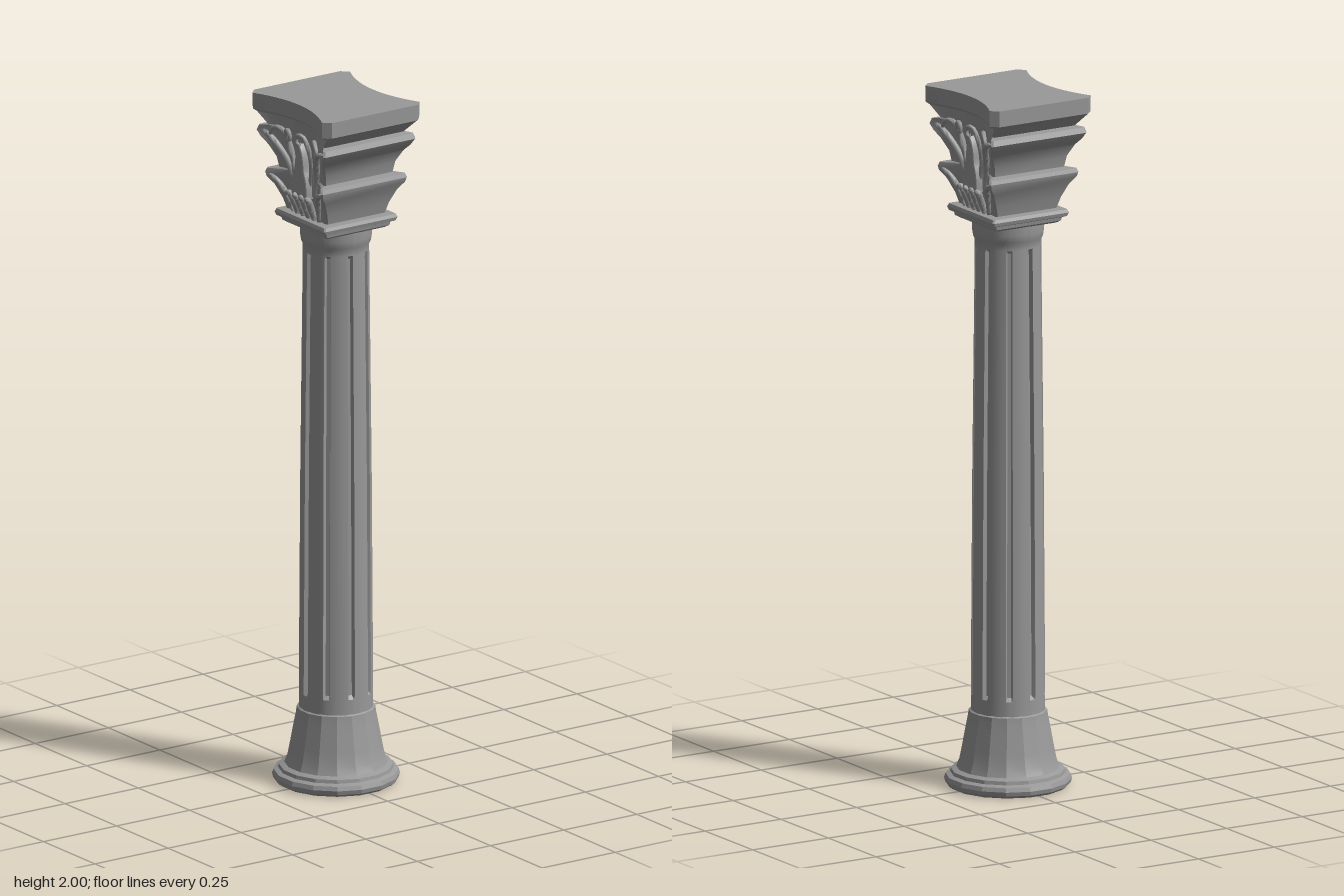
import * as THREE from 'three';
import { toCreasedNormals } from 'three/addons/utils/BufferGeometryUtils.js';

const material = new THREE.MeshStandardMaterial({ color: 0x999999 });

function part(name, geometry, crease = 0.55) {
  const mesh = new THREE.Mesh(toCreasedNormals(geometry, crease), material);
  mesh.name = name;
  return mesh;
}

// Skin a stack of rings (counterclockwise from above) and cap both ends
function loft(rings) {
  const n = rings[0].length, pos = [], idx = [];
  rings.forEach(r => r.forEach(p => pos.push(...p)));
  for (let i = 0; i < rings.length - 1; i++) {
    for (let j = 0; j < n; j++) {
      const k = (j + 1) % n, a = i * n + j, b = i * n + k;
      idx.push(a, b, b + n, a, b + n, a + n);
    }
  }
  const top = (rings.length - 1) * n, c = rings.length * n;
  pos.push(0, rings[0][0][1], 0, 0, rings.at(-1)[0][1], 0);
  for (let j = 0; j < n; j++) {
    const k = (j + 1) % n;
    idx.push(c, k, j, c + 1, top + j, top + k);
  }
  const g = new THREE.BufferGeometry();
  g.setAttribute('position', new THREE.Float32BufferAttribute(pos, 3));
  g.setIndex(idx);
  return g;
}

// Rectangle with clipped corners and front/back edges hollowed to depth mid
function hollowSection(y, w, d, mid = d, clip = 0.004, power = 2) {
  const pts = [], n = 14, e = w - clip;
  for (const s of [1, -1]) {
    for (let i = 0; i <= n; i++) {
      const t = -1 + 2 * i / n;
      pts.push([s * t * e, y, s * (mid + (d - mid) * Math.abs(t) ** power)]);
    }
    pts.push([s * w, y, s * (d - clip)], [s * w, y, -s * (d - clip)]);
  }
  return pts;
}

// Round section cut by nine narrow flutes
function flutedSection(y, r, depth) {
  const pts = [];
  for (let f = 0; f < 9; f++) {
    for (const [deg, cut] of [[-12.5, 0], [-5.5, 0], [-3.5, 1], [3.5, 1], [5.5, 0], [12.5, 0], [20, 0]]) {
      const a = THREE.MathUtils.degToRad(f * 40 + deg), q = r - cut * depth;
      pts.push([q * Math.sin(a), y, q * Math.cos(a)]);
    }
  }
  return pts;
}

// Tapered, round-ended leaf rib along a curve
function rib(name, points, radius, side = 1) {
  const curve = new THREE.CatmullRomCurve3(points.map(([x, y, z]) => new THREE.Vector3(x * side, y, z)));
  const steps = 20, sides = 8;
  const g = new THREE.TubeGeometry(curve, steps, radius, sides);
  const p = g.attributes.position, v = new THREE.Vector3();
  for (let i = 0; i <= steps; i++) {
    const t = i / steps, c = curve.getPointAt(t);
    const k = Math.sqrt(Math.max(0, 1 - t ** 6)) * (0.75 + 0.25 * t);
    for (let j = 0; j <= sides; j++) {
      const m = i * (sides + 1) + j;
      v.fromBufferAttribute(p, m).sub(c).multiplyScalar(k).add(c);
      p.setXYZ(m, v.x, v.y, v.z);
    }
  }
  return part(name, g, 1.2);
}

// Carved foliage for one hollow face of the capital
function foliage(name) {
  const group = new THREE.Group();
  group.name = name;
  for (const s of [1, -1]) {
    group.add(
      rib('lowerCornerLeaf', [[0.062, 1.67, 0.1], [0.078, 1.72, 0.115], [0.1, 1.755, 0.132], [0.128, 1.77, 0.142]], 0.01, s),
      rib('upperCornerLeaf', [[0.05, 1.72, 0.105], [0.065, 1.8, 0.11], [0.1, 1.87, 0.138], [0.122, 1.888, 0.148], [0.152, 1.895, 0.149]], 0.011, s),
      rib('hoopLeaf', [[0.045, 1.74, 0.105], [0.055, 1.85, 0.112], [0.076, 1.91, 0.13], [0.1, 1.912, 0.143], [0.118, 1.88, 0.146]], 0.009, s),
      rib('scroll', [[0.028, 1.76, 0.108], [0.046, 1.83, 0.116], [0.05, 1.885, 0.13], [0.038, 1.92, 0.142],
        [0.02, 1.918, 0.147], [0.015, 1.9, 0.147], [0.027, 1.893, 0.144], [0.032, 1.904, 0.142]], 0.0085, s)
    );
    for (const x of [0.013, 0.04]) {
      group.add(rib('baseLeaf', [[x, 1.668, 0.1], [x, 1.7, 0.112], [x * 1.1, 1.73, 0.126], [x * 1.15, 1.738, 0.14]], 0.012, s));
    }
  }
  // Central bud
  const shape = new THREE.Shape();
  shape.moveTo(-0.034, 1.735);
  shape.lineTo(0.034, 1.735);
  shape.quadraticCurveTo(0.034, 1.78, 0.019, 1.81);
  shape.quadraticCurveTo(0.016, 1.86, 0, 1.88);
  shape.quadraticCurveTo(-0.016, 1.86, -0.019, 1.81);
  shape.quadraticCurveTo(-0.034, 1.78, -0.034, 1.735);
  const bud = part('bud', new THREE.ExtrudeGeometry(shape, {
    depth: 0.025, bevelSize: 0.004, bevelThickness: 0.006, bevelSegments: 2, curveSegments: 6
  }));
  bud.position.z = 0.097;
  group.add(bud);
  return group;
}

export function createModel() {
  const model = new THREE.Group();
  model.name = 'column';

  // Flared, faceted foot
  const foot = [[0, 0], [0.165, 0], [0.176, 0.008], [0.179, 0.02], [0.175, 0.032], [0.162, 0.037], [0.16, 0.047],
    [0.145, 0.053], [0.136, 0.075], [0.128, 0.115], [0.119, 0.165], [0.112, 0.2], [0.11, 0.216], [0.1, 0.222], [0, 0.222]];
  model.add(part('base', new THREE.LatheGeometry(foot.map(p => new THREE.Vector2(...p)), 16, Math.PI / 16), 0.36));

  // Tapering fluted shaft with a flared neck
  const shaft = [[0.212, 0.104, 0], [0.262, 0.104, 0], [0.272, 0.104, 0.012], [0.9, 0.1, 0.012], [1.55, 0.093, 0.012],
    [1.56, 0.093, 0], [1.575, 0.093, 0], [1.585, 0.098, 0], [1.605, 0.101, 0], [1.635, 0.101, 0]];
  model.add(part('shaft', loft(shaft.map(a => flutedSection(...a)))));

  // Square collar moulding
  const collar = [[1.628, 0.1, 0.1], [1.634, 0.108, 0.11], [1.644, 0.11, 0.112], [1.648, 0.12, 0.123],
    [1.658, 0.123, 0.126], [1.667, 0.119, 0.122], [1.67, 0.1, 0.1]];
  model.add(part('collar', loft(collar.map(a => hollowSection(...a)))));

  // Two-tiered capital, hollow at front and back
  const tiers = [[1.665, 0.098, 0.1, 0.098], [1.7, 0.107, 0.11, 0.1], [1.74, 0.122, 0.128, 0.102],
    [1.762, 0.136, 0.145, 0.102], [1.775, 0.139, 0.148, 0.102], [1.786, 0.135, 0.144, 0.102],
    [1.79, 0.113, 0.118, 0.102], [1.82, 0.118, 0.123, 0.103], [1.855, 0.135, 0.14, 0.104],
    [1.875, 0.154, 0.152, 0.105], [1.893, 0.166, 0.158, 0.106], [1.908, 0.16, 0.154, 0.107],
    [1.912, 0.14, 0.137, 0.108], [1.955, 0.184, 0.157, 0.112]];
  model.add(part('capital', loft(tiers.map(([y, w, d, m]) => hollowSection(y, w, d, m, 0.005, 2.5)))));

  const front = foliage('frontFoliage'), back = foliage('backFoliage');
  back.rotation.y = Math.PI;
  model.add(front, back);

  // Abacus slab with clipped corners
  const slab = [[1.946, 0.178, 0.156, 0.116], [1.954, 0.188, 0.166, 0.124], [2, 0.189, 0.167, 0.125]];
  model.add(part('abacus', loft(slab.map(([y, w, d, m]) => hollowSection(y, w, d, m, 0.02)))));

  return model;
}
